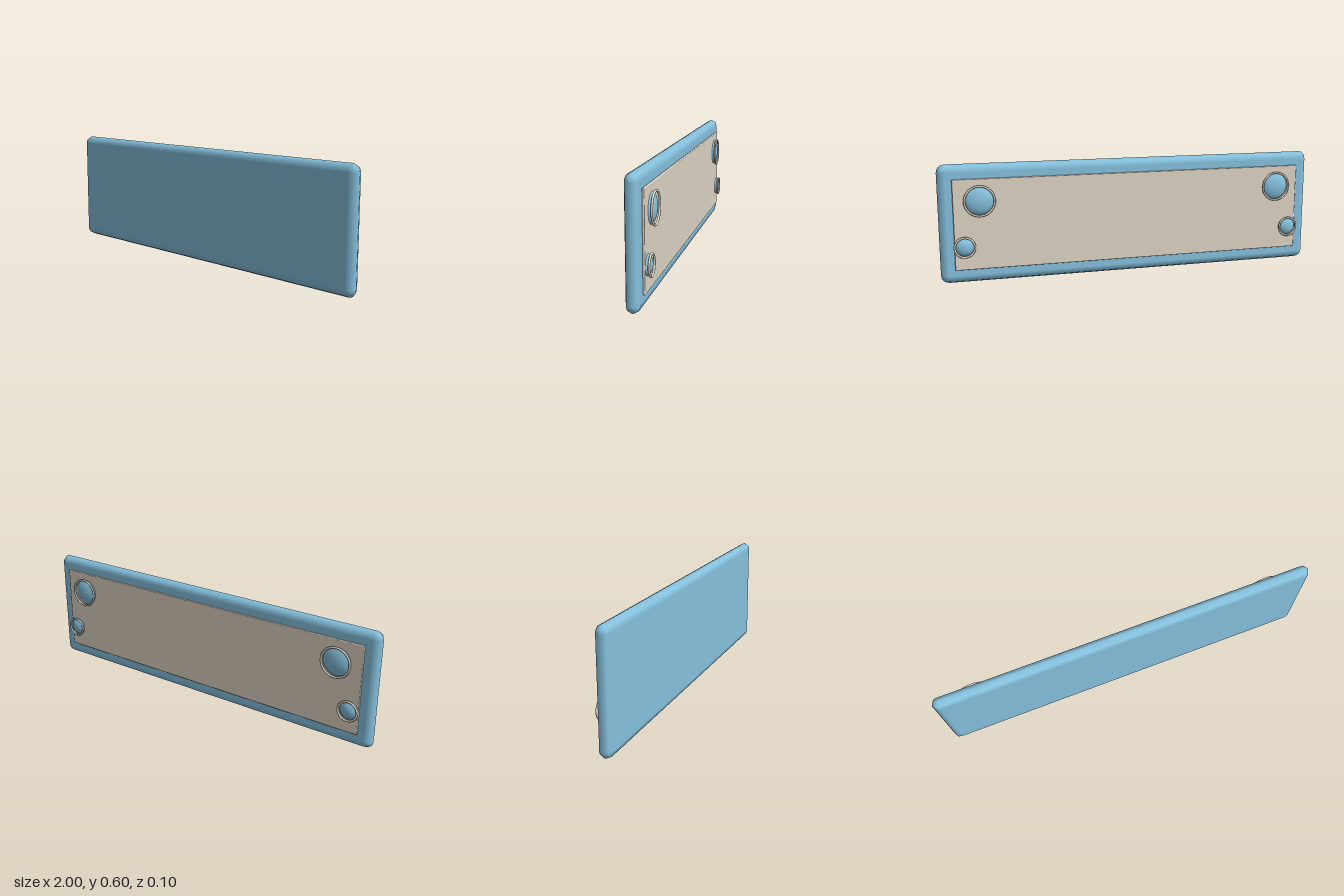
import * as THREE from 'three';

const blue = new THREE.MeshStandardMaterial({ color: 0x87c3e0 });
blue.name = 'sky blue';
const cream = new THREE.MeshStandardMaterial({ color: 0xe0d6c6 });
cream.name = 'warm cream';

// Slab with a bulging elliptical rim and flat faces, built from outline rings
function pillowSlab(width, height, depth, radius, rimSteps, cornerSteps) {
  const position = [], normal = [], index = [];
  const hx = width / 2 - radius, hy = height / 2 - radius, hz = depth / 2;
  const corners = [[1, 1], [-1, 1], [-1, -1], [1, -1]];
  const ringSize = 4 * (cornerSteps + 1);
  const n = new THREE.Vector3();
  const rings = rimSteps * 2;
  for (let i = 0; i <= rings; i++) {
    const tilt = -Math.PI / 2 + (Math.PI * i) / rings;
    const c = Math.cos(tilt), s = Math.sin(tilt);
    corners.forEach(([sx, sy], k) => {
      for (let j = 0; j <= cornerSteps; j++) {
        const a = (Math.PI / 2) * (k + j / cornerSteps);
        position.push(sx * hx + radius * c * Math.cos(a), sy * hy + radius * c * Math.sin(a), hz * s);
        n.set(c * Math.cos(a) / radius, c * Math.sin(a) / radius, s / hz).normalize();
        normal.push(n.x, n.y, n.z);
      }
    });
  }
  for (let i = 0; i < rings; i++) {
    for (let j = 0; j < ringSize; j++) {
      const a = i * ringSize + j, b = i * ringSize + (j + 1) % ringSize;
      index.push(a, b, b + ringSize, a, b + ringSize, a + ringSize);
    }
  }
  // Flat back and front faces
  for (const side of [-1, 1]) {
    const first = position.length / 3;
    for (const [sx, sy] of corners) {
      position.push(sx * hx, sy * hy, side * hz);
      normal.push(0, 0, side);
    }
    const quad = side > 0 ? [0, 1, 2, 0, 2, 3] : [0, 2, 1, 0, 3, 2];
    index.push(...quad.map((q) => first + q));
  }
  const geometry = new THREE.BufferGeometry();
  geometry.setAttribute('position', new THREE.Float32BufferAttribute(position, 3));
  geometry.setAttribute('normal', new THREE.Float32BufferAttribute(normal, 3));
  geometry.setIndex(index);
  return geometry;
}

function addMesh(parent, name, geometry, material, x, y, z) {
  const mesh = new THREE.Mesh(geometry, material);
  mesh.name = name;
  mesh.position.set(x, y, z);
  parent.add(mesh);
  return mesh;
}

// Shallow dome facing backwards, with a thin ring around its crown
function makeStud(name, radius, x, y) {
  const stud = new THREE.Group();
  stud.name = name;
  stud.position.set(x, y, 0);
  const dome = new THREE.SphereGeometry(1, 32, 8, 0, Math.PI * 2, 0, Math.PI / 2);
  dome.rotateX(-Math.PI / 2);
  dome.scale(radius - 0.0055, radius - 0.0055, 0.028);
  addMesh(stud, 'dome', dome, blue, 0, 0, -0.02);
  addMesh(stud, 'ring', new THREE.TorusGeometry(radius - 0.0055, 0.0055, 8, 40), cream, 0, 0, -0.0435);
  return stud;
}

export function createModel() {
  const model = new THREE.Group();
  model.name = 'panel';

  // Main slab and the plate on its back
  addMesh(model, 'slab', pillowSlab(2, 0.602, 0.066, 0.04, 2, 4), blue, 0, 0.301, 0.017);
  addMesh(model, 'backPlate', pillowSlab(1.86, 0.46, 0.012, 0.004, 2, 2), cream, 0, 0.301, -0.021);

  // A large and a small stud at each end
  for (const [side, label] of [[1, 'left'], [-1, 'right']]) {
    model.add(makeStud(label + 'LargeStud', 0.08, side * 0.8, 0.421));
    model.add(makeStud(label + 'SmallStud', 0.055, side * 0.88, 0.191));
  }
  return model;
}
